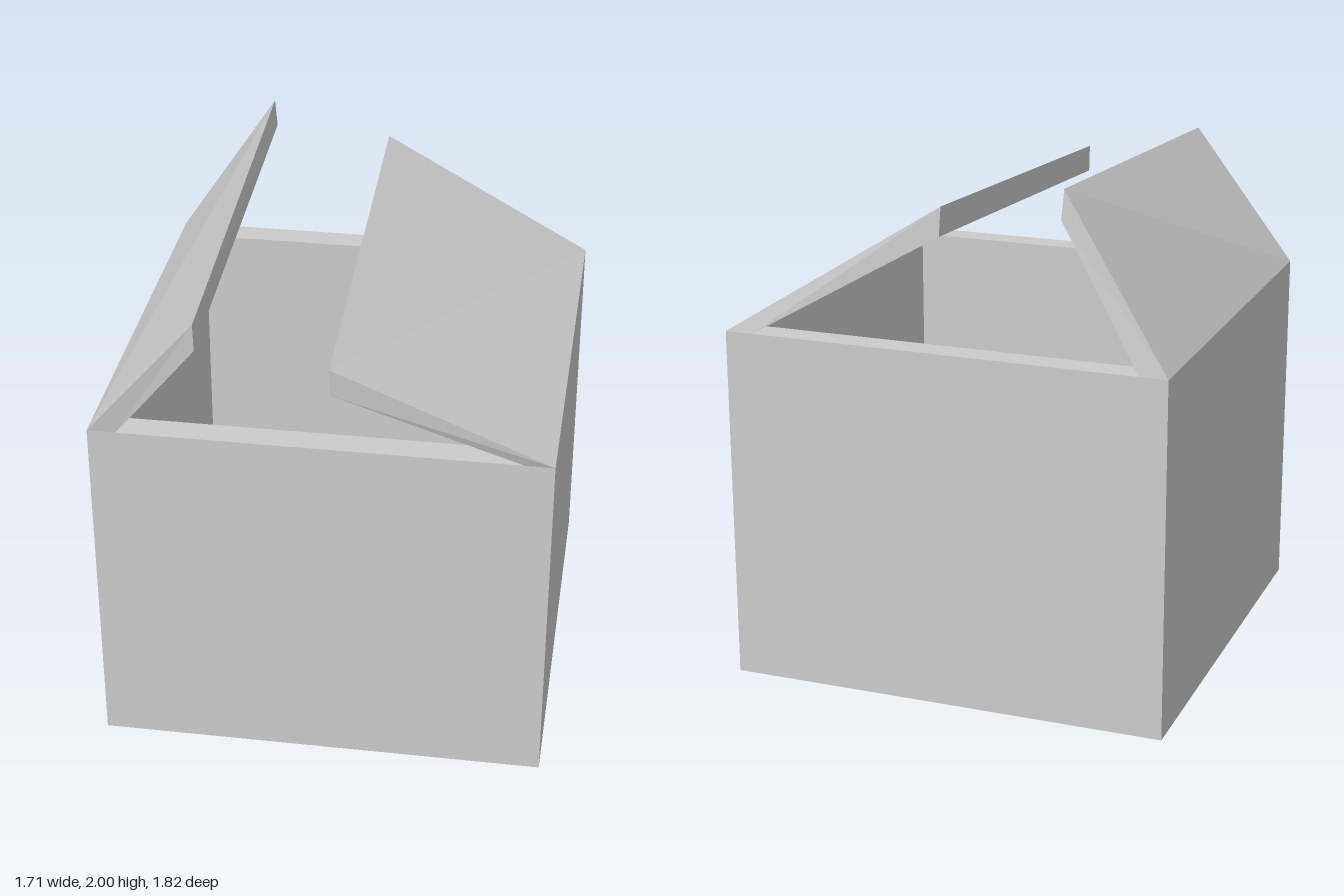
import * as THREE from 'three';

// Flat-faced solid lofted through four-cornered rings, capped at both ends.
// Corners run counter-clockwise seen from the end of the loft.
function loft(name, rings) {
  const pos = [];
  const tri = (...corners) => corners.forEach((c) => pos.push(...c));
  const quad = (a, b, c, d) => { tri(a, b, d); tri(b, c, d); };
  for (let i = 0; i < rings.length - 1; i++) {
    for (let j = 0; j < 4; j++) {
      const k = (j + 1) % 4;
      quad(rings[i][j], rings[i][k], rings[i + 1][k], rings[i + 1][j]);
    }
  }
  quad(...[...rings[0]].reverse());
  quad(...rings[rings.length - 1]);

  const geometry = new THREE.BufferGeometry();
  geometry.setAttribute('position', new THREE.Float32BufferAttribute(pos, 3));
  geometry.computeVertexNormals();
  const mesh = new THREE.Mesh(
    geometry,
    new THREE.MeshStandardMaterial({ color: 0xcccccc, flatShading: true })
  );
  mesh.name = name;
  return mesh;
}

// Horizontal rectangle: front right, back right, back left, front left corners
const rect = (x0, x1, z0, z1, y) => [[x1, y, z1], [x1, y, z0], [x0, y, z0], [x0, y, z1]];

export function createModel() {
  const group = new THREE.Group();
  group.name = 'openBox';

  const half = 0.855, back = -0.912, front = 0.803, top = 1.375, wall = 0.108;
  const inner = half - wall;

  // Open box: up the outside, over the rim and down to the inner floor
  group.add(loft('boxBody', [
    rect(-half, half, back, front, 0),
    rect(-half, half, back, front, top),
    rect(-inner, inner, back + wall, front - wall, top),
    rect(-inner, inner, back + wall, front - wall, wall),
  ]));

  // Low, skewed flap hinged on the left wall
  group.add(loft('leftFlap', [
    rect(inner, half, back, front, top),
    [[0.06, 1.77, 0.912], [0.035, 1.89, -0.8], [0.04, 1.78, -0.808], [0.06, 1.665, 0.905]],
  ]));

  // Steeper flap hinged on the right wall
  group.add(loft('rightFlap', [
    rect(-half, -inner, back, front, top),
    [[-0.427, 1.78, 0.868], [-0.435, 1.89, -0.843], [-0.443, 2, -0.835], [-0.427, 1.89, 0.877]],
  ]));

  return group;
}
